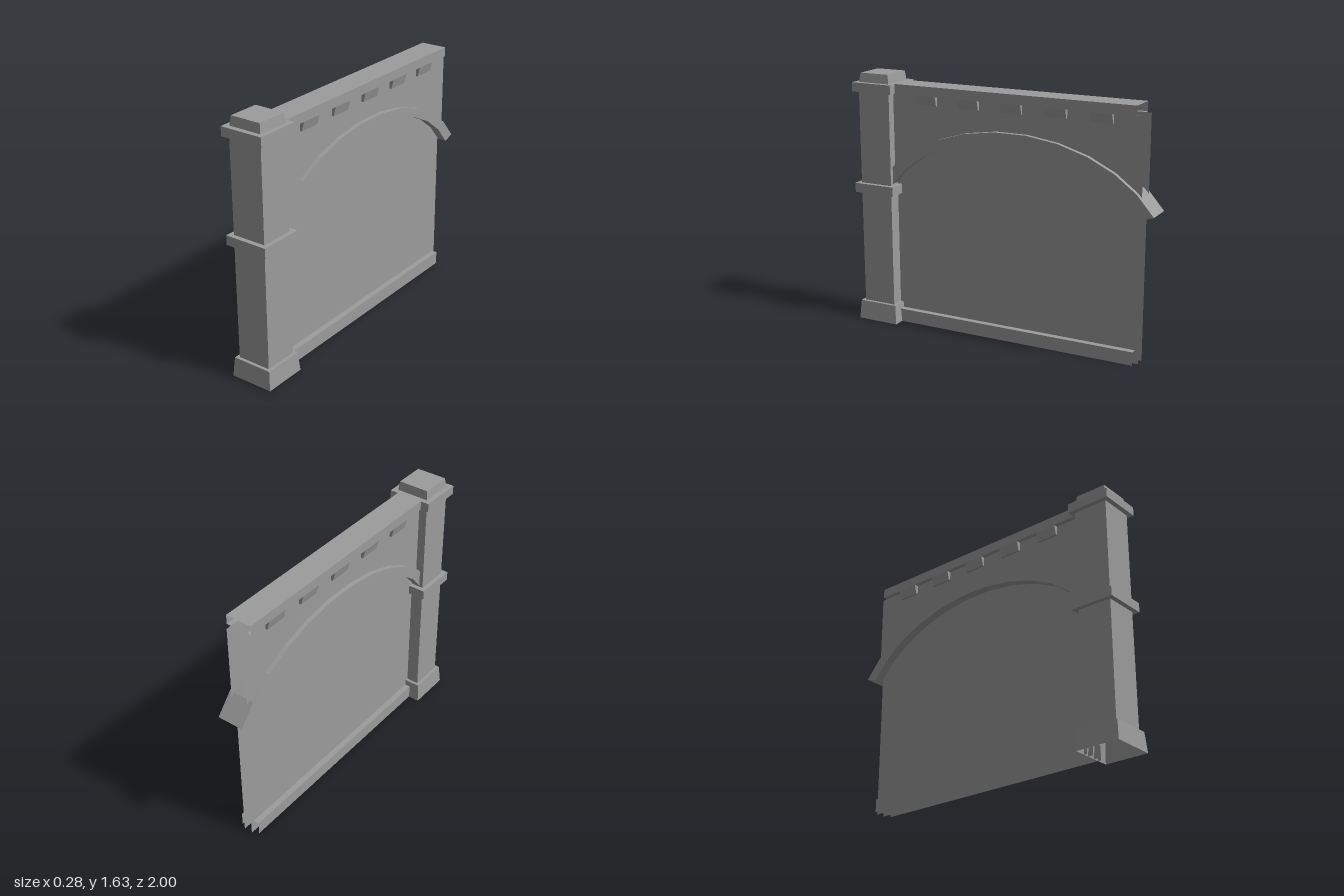
import * as THREE from 'three';

const material = new THREE.MeshStandardMaterial({
  color: 0x9c9c9c, flatShading: true, side: THREE.DoubleSide,
});

function addMesh(parent, name, geometry) {
  const mesh = new THREE.Mesh(geometry, material);
  mesh.name = name;
  parent.add(mesh);
  return mesh;
}

// Open-ended skin over cross-sections, each a list of [x, y, z] points
function loft(sections, closed) {
  const n = sections[0].length;
  const index = [];
  for (let s = 0; s < sections.length - 1; s++) {
    for (let i = 0; i < (closed ? n : n - 1); i++) {
      const a = s * n + i, b = s * n + (i + 1) % n;
      index.push(a, b, a + n, b, b + n, a + n);
    }
  }
  const geometry = new THREE.BufferGeometry();
  geometry.setAttribute('position', new THREE.Float32BufferAttribute(sections.flat(2), 3));
  geometry.setIndex(index);
  geometry.computeVertexNormals();
  return geometry;
}

// Straight strip: an [x, y] profile run from z0 to z1
const strip = (profile, z0, z1) =>
  loft([z0, z1].map((z) => profile.map(([x, y]) => [x, y, z])), false);

const PILLAR_Z = 0.86;
const ARCH_Z = -0.08;
const WALL_HALF = 0.834;   // wall half length, about the arch centre
const UPPER_X = 0.056;     // upper wall face
const LOWER_X = 0.028;     // recessed panel face
const TRIM_X = 0.085;      // arch and beam face

// Elliptical arch curve of 11 segments; scale 1 is the outer edge
const ARCH_SEGMENTS = 11;
const ARCH_SWEEP = 1.139;
const INNER_SCALE = 0.92;
function archCurve(scale) {
  return Array.from({ length: ARCH_SEGMENTS + 1 }, (_, i) => {
    const t = ARCH_SWEEP * (2 * i / ARCH_SEGMENTS - 1);
    return [1.013 * scale * Math.sin(t), 0.645 + 0.69 * scale * Math.cos(t)];
  });
}

// Flat wall sheet between the arch centre line and a level edge at y
function wallSheet(edgeY) {
  const mid = archCurve((1 + INNER_SCALE) / 2).slice(1, -1);
  const outline = [
    [-WALL_HALF, edgeY], [-WALL_HALF, 0.98], ...mid, [WALL_HALF, 0.98], [WALL_HALF, edgeY],
  ];
  const shape = new THREE.Shape(outline.map(([u, y]) => new THREE.Vector2(u, y)));
  return new THREE.ShapeGeometry(shape).rotateY(Math.PI / 2).translate(0, 0, ARCH_Z);
}

export function createModel() {
  const model = new THREE.Group();
  model.name = 'archedWallSection';

  // Square pillar with flared base, two bands and a tapered cap
  const pillarProfile = [
    [0.14, 0], [0.13, 0.123], [0.11, 0.123], [0.11, 0.86], [0.14, 0.86], [0.14, 0.92],
    [0.11, 0.92], [0.11, 1.51], [0.14, 1.51], [0.14, 1.568], [0.107, 1.568], [0.1, 1.626], [0, 1.626],
  ].map(([half, y]) => new THREE.Vector2(half * Math.SQRT2, y));
  const pillar = addMesh(model, 'pillar', new THREE.LatheGeometry(pillarProfile, 4, Math.PI / 4));
  pillar.position.z = PILLAR_Z;

  // Closes the shaft above the hollow base
  const floor = addMesh(model, 'pillarFloor', new THREE.PlaneGeometry(0.22, 0.22).rotateX(Math.PI / 2));
  floor.position.set(0, 0.123, PILLAR_Z);

  // Arch rib across the full thickness
  const inner = archCurve(INNER_SCALE);
  addMesh(model, 'archRib', loft(archCurve(1).map(([o, oy], k) => {
    const [i, iy] = inner[k];
    return [
      [TRIM_X, oy, ARCH_Z - o], [-TRIM_X, oy, ARCH_Z - o],
      [-TRIM_X, iy, ARCH_Z - i], [TRIM_X, iy, ARCH_Z - i],
    ];
  }), true));

  // Top beam, hollow and open at the end
  addMesh(model, 'topBeam', strip([
    [UPPER_X, 1.51], [TRIM_X, 1.51], [TRIM_X, 1.57],
    [-TRIM_X, 1.57], [-TRIM_X, 1.51], [-UPPER_X, 1.51],
  ], 0.74, -0.88));

  // Walls, skirting and corbels on both sides
  for (const [side, s] of [['left', 1], ['right', -1]]) {
    addMesh(model, side + 'UpperWall', wallSheet(1.51)).position.x = s * UPPER_X;
    addMesh(model, side + 'RecessedPanel', wallSheet(0)).position.x = s * LOWER_X;
    addMesh(model, side + 'Skirting', strip(
      [[s * 0.066, 0], [s * 0.066, 0.085], [s * LOWER_X, 0.085]], 0.74, -0.89));

    const section = new THREE.Shape([
      [UPPER_X, 1.51], [UPPER_X, 1.45], [0.069, 1.45], [TRIM_X, 1.51],
    ].map(([x, y]) => new THREE.Vector2(s * x, y)));
    const corbel = new THREE.ExtrudeGeometry(section, { depth: 0.14, bevelEnabled: false });
    for (let i = 0; i < 5; i++) {
      addMesh(model, side + 'Corbel', corbel).position.z = 0.434 - i * 0.291;
    }
  }
  return model;
}
